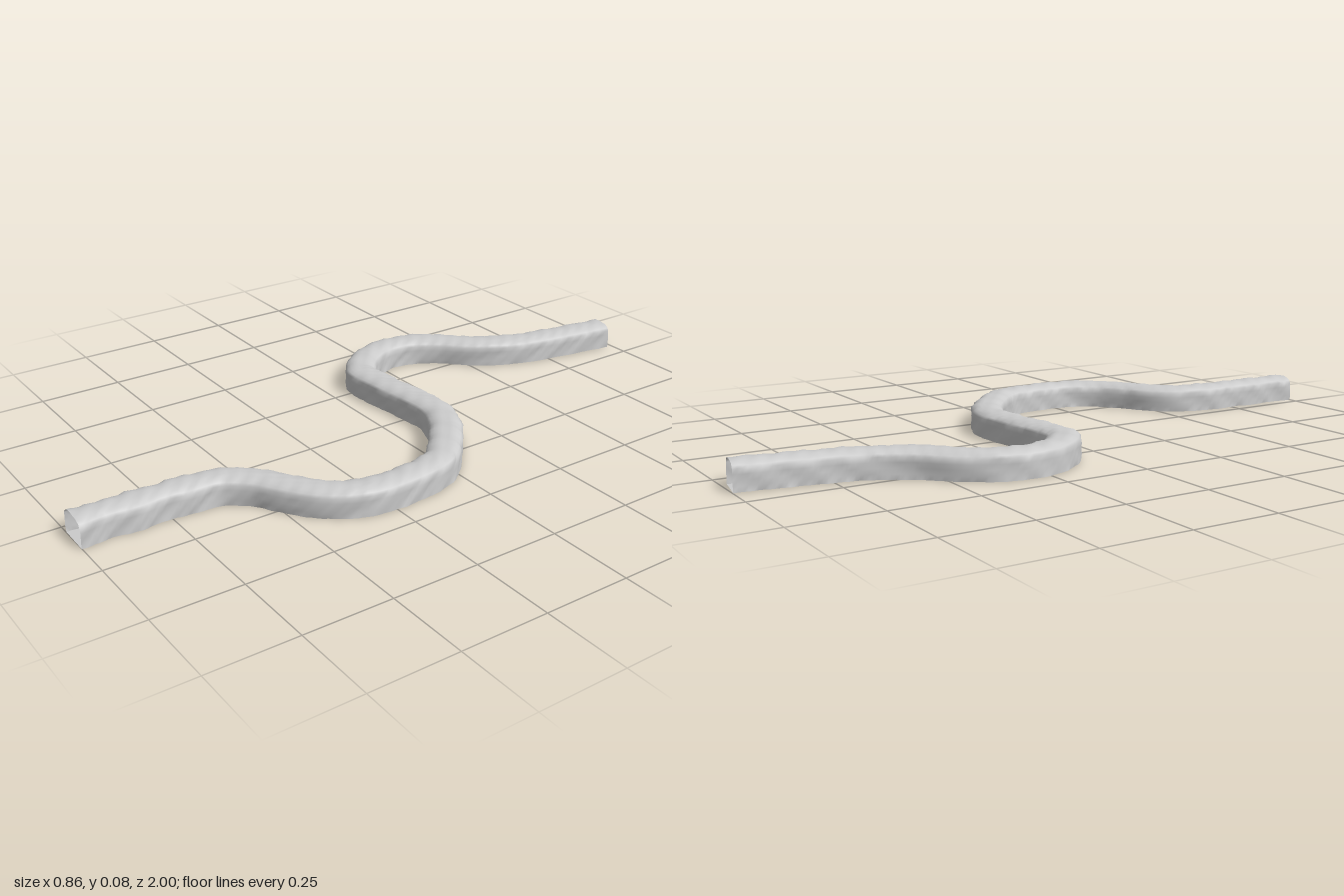
import * as THREE from 'three';

// Centre line of the tunnel, back to front, as [x, z]
const PATH = [
  [-0.107, -0.99], [-0.14, -0.79], [-0.17, -0.66], [-0.235, -0.54], [-0.32, -0.45],
  [-0.372, -0.36], [-0.378, -0.26], [-0.335, -0.17], [-0.26, -0.108], [-0.155, -0.11],
  [-0.02, -0.125], [0.08, -0.13], [0.17, -0.1], [0.27, -0.025], [0.347, 0.06],
  [0.373, 0.18], [0.368, 0.31], [0.32, 0.4], [0.24, 0.465], [0.155, 0.52],
  [0.103, 0.59], [0.086, 0.69], [0.083, 0.82], [0.08, 1],
];
const HALF_WIDTH = 0.047;
const STATIONS = 220;

// Half of the arch, from the foot of the wall to the crown: [side, y]
const HALF_ARCH = [
  [1, 0], [1, 0.015], [1, 0.03], [1, 0.045], [1, 0.059],
  [0.88, 0.066], [0.68, 0.072], [0.42, 0.0755], [0.2, 0.0765],
];
const ARCH = [
  ...HALF_ARCH, [0, 0.077],
  ...HALF_ARCH.slice().reverse().map(([s, y]) => [-s, y]),
];
const FLOOR = [[-1, 0], [0, 0], [1, 0]];

// Gentle repeatable unevenness for rough rock
function rough(x, y, z) {
  return 0.45 * Math.sin(47 * x + 61 * z + 90 * y)
    + 0.35 * Math.sin(113 * z - 88 * x + 150 * y + 1.3)
    + 0.3 * Math.sin(205 * x + 171 * z - 210 * y + 2.1);
}

// Sweeps a cross-section along the path, roughening it on the way
function sweep(profile, name, material) {
  const curve = new THREE.CatmullRomCurve3(
    PATH.map(([x, z]) => new THREE.Vector3(x, 0, z)), false, 'centripetal');
  const positions = [], index = [], n = profile.length;
  for (let j = 0; j <= STATIONS; j++) {
    const p = curve.getPointAt(j / STATIONS);
    const t = curve.getTangentAt(j / STATIONS);
    // Bulges that grow stronger towards the front mouth
    const bulge = 0.004 * THREE.MathUtils.smoothstep(p.z, 0.4, 0.8)
      * Math.cos((2 * Math.PI * (p.z - 0.84)) / 0.155);
    for (const [side, y] of profile) {
      const x0 = p.x + t.z * side * HALF_WIDTH;
      const z0 = p.z - t.x * side * HALF_WIDTH;
      const r = rough(x0, y, z0);
      const offset = side * (HALF_WIDTH + bulge + 0.0028 * r);
      const lift = y > 0.055 ? 0.0022 * r : 0;
      positions.push(p.x + t.z * offset, y + lift, p.z - t.x * offset);
    }
  }
  for (let j = 0; j < STATIONS; j++) {
    for (let i = 0; i < n - 1; i++) {
      const a = j * n + i, b = a + 1, c = a + n, d = c + 1;
      index.push(a, b, c, b, d, c);
    }
  }
  const geometry = new THREE.BufferGeometry();
  geometry.setAttribute('position', new THREE.Float32BufferAttribute(positions, 3));
  geometry.setIndex(index);
  geometry.computeVertexNormals();
  const mesh = new THREE.Mesh(geometry, material);
  mesh.name = name;
  return mesh;
}

export function createModel() {
  const group = new THREE.Group();
  group.name = 'windingTunnel';
  const rock = new THREE.MeshStandardMaterial({ color: 0xcccccc, side: THREE.DoubleSide });
  // Walls and arched roof, open at both ends
  group.add(sweep(ARCH, 'wallsAndRoof', rock));
  // Flat floor joining the feet of the walls
  group.add(sweep(FLOOR, 'floor', rock));
  return group;
}
